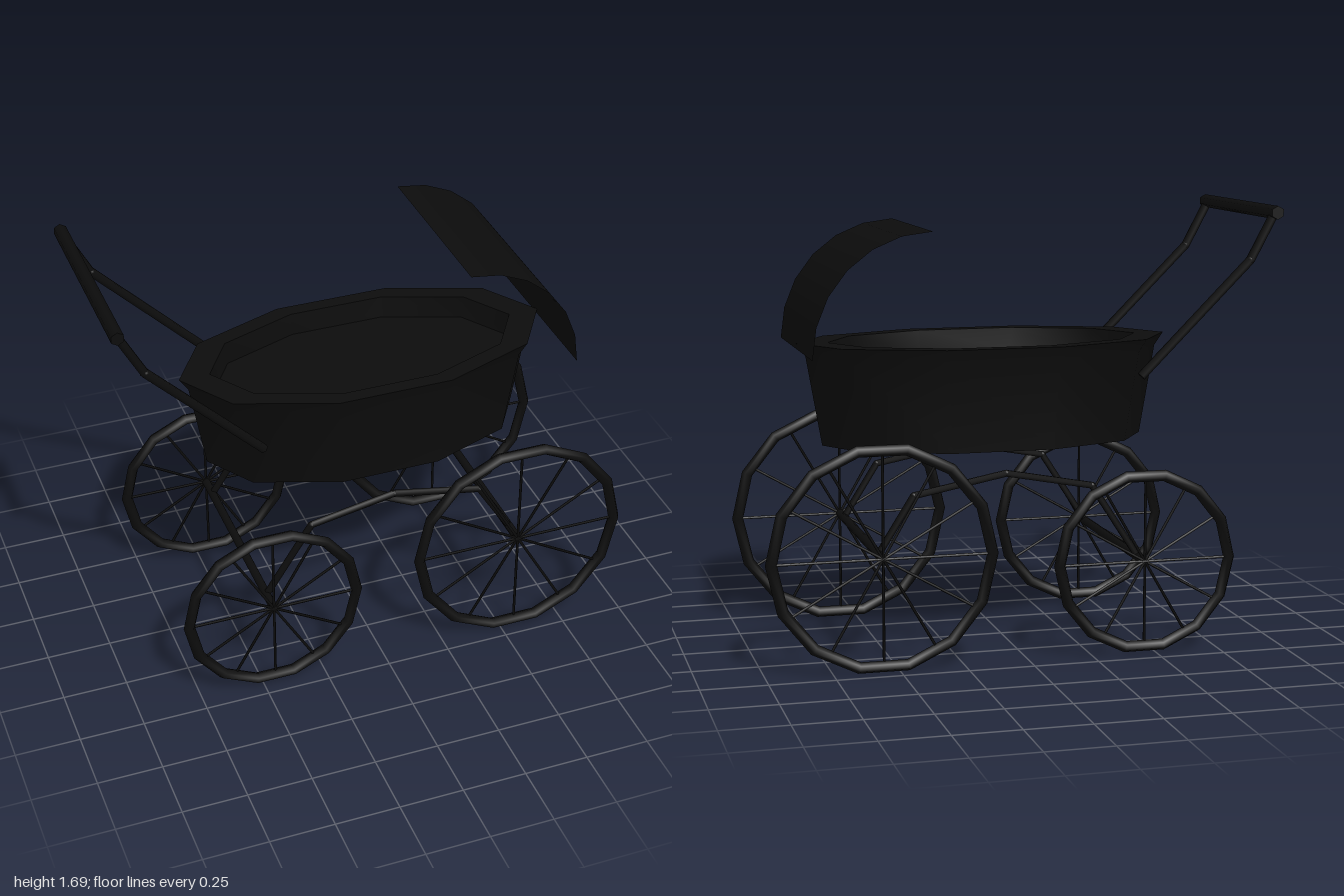
import * as THREE from 'three';
import { toCreasedNormals } from 'three/addons/utils/BufferGeometryUtils.js';

export function createModel() {
  const model = new THREE.Group();
  model.name = 'pram';
  const black = new THREE.MeshStandardMaterial({ color: 0x0c0c0c, side: THREE.DoubleSide });
  black.name = 'black';

  const add = (name, geometry, parent = model) => {
    const mesh = new THREE.Mesh(geometry, black);
    mesh.name = name;
    parent.add(mesh);
    return mesh;
  };

  // Straight round bar between two points
  const bar = (name, a, b, radius, parent, sides = 6) => {
    const from = new THREE.Vector3(...a), to = new THREE.Vector3(...b);
    const dir = to.clone().sub(from);
    const mesh = add(name, new THREE.CylinderGeometry(radius, radius, dir.length(), sides), parent);
    mesh.position.copy(from).add(to).multiplyScalar(0.5);
    mesh.quaternion.setFromUnitVectors(new THREE.Vector3(0, 1, 0), dir.normalize());
  };

  // Bent bar in a plane of constant z, with rounded joints
  const bentBar = (name, points, z, radius) => {
    const group = new THREE.Group();
    group.name = name;
    model.add(group);
    points.forEach(([x, y], i) => {
      if (i === 0) return;
      const [px, py] = points[i - 1];
      bar(name + 'Segment', [px, py, z], [x, y, z], radius, group);
      if (i < points.length - 1) {
        add(name + 'Joint', new THREE.SphereGeometry(radius, 8, 6), group).position.set(x, y, z);
      }
    });
  };

  // Basket: ten-sided oval tub with a rolled lip and a shallow inside
  const profile = [
    [0, 0.75], [0.635, 0.785], [0.695, 1.13], [0.73, 1.18],
    [0.61, 1.18], [0.6, 1.09], [0, 1.08],
  ].map(([r, y]) => new THREE.Vector2(r, y));
  const basket = new THREE.LatheGeometry(profile, 10, Math.PI / 2);
  basket.scale(1, 1, 0.507);
  add('basket', toCreasedNormals(basket, 0.75)).position.x = 0.07;

  // Hood: thin quarter-round sheet
  const hood = new THREE.CylinderGeometry(0.45, 0.45, 0.73, 6, 1, true, Math.PI / 2, Math.PI / 2);
  hood.rotateX(Math.PI / 2);
  hood.scale(1, 0.46 / 0.45, 1);
  add('hood', hood).position.set(0.35, 1.16, 0);

  // Wheels and axles
  const wheelZ = 0.435;
  for (const [name, x, y, outer] of [['rear', -0.45, 0.362, 0.358], ['front', 0.56, 0.428, 0.437]]) {
    bar(name + 'Axle', [x, y, -wheelZ], [x, y, wheelZ], 0.017, model, 8);
    for (const side of [1, -1]) {
      const wheel = new THREE.Group();
      wheel.name = name + (side > 0 ? 'LeftWheel' : 'RightWheel');
      wheel.position.set(x, y, side * wheelZ);
      model.add(wheel);
      const ring = outer - 0.022;
      add('rim', new THREE.TorusGeometry(ring, 0.022, 6, 14), wheel);
      for (let i = 0; i < 12; i++) {
        const a = i * Math.PI / 6;
        const r = ring * 0.985;
        bar('spoke', [0, 0, 0], [r * Math.cos(a), r * Math.sin(a), 0], 0.0055, wheel, 5);
      }
    }
  }

  // Springs and handle arms on both sides
  for (const side of [1, -1]) {
    bentBar('spring', [[-0.45, 0.362], [-0.265, 0.648], [0.07, 0.71], [0.425, 0.642], [0.56, 0.428]],
      side * 0.346, 0.0135);
    bentBar('handleArm', [[-0.45, 1.06], [-0.88, 1.49], [-0.975, 1.668]], side * 0.367, 0.0175);
  }

  // Push bar
  bar('pushBar', [-0.975, 1.668, -0.4], [-0.975, 1.668, 0.4], 0.026, model);

  return model;
}
